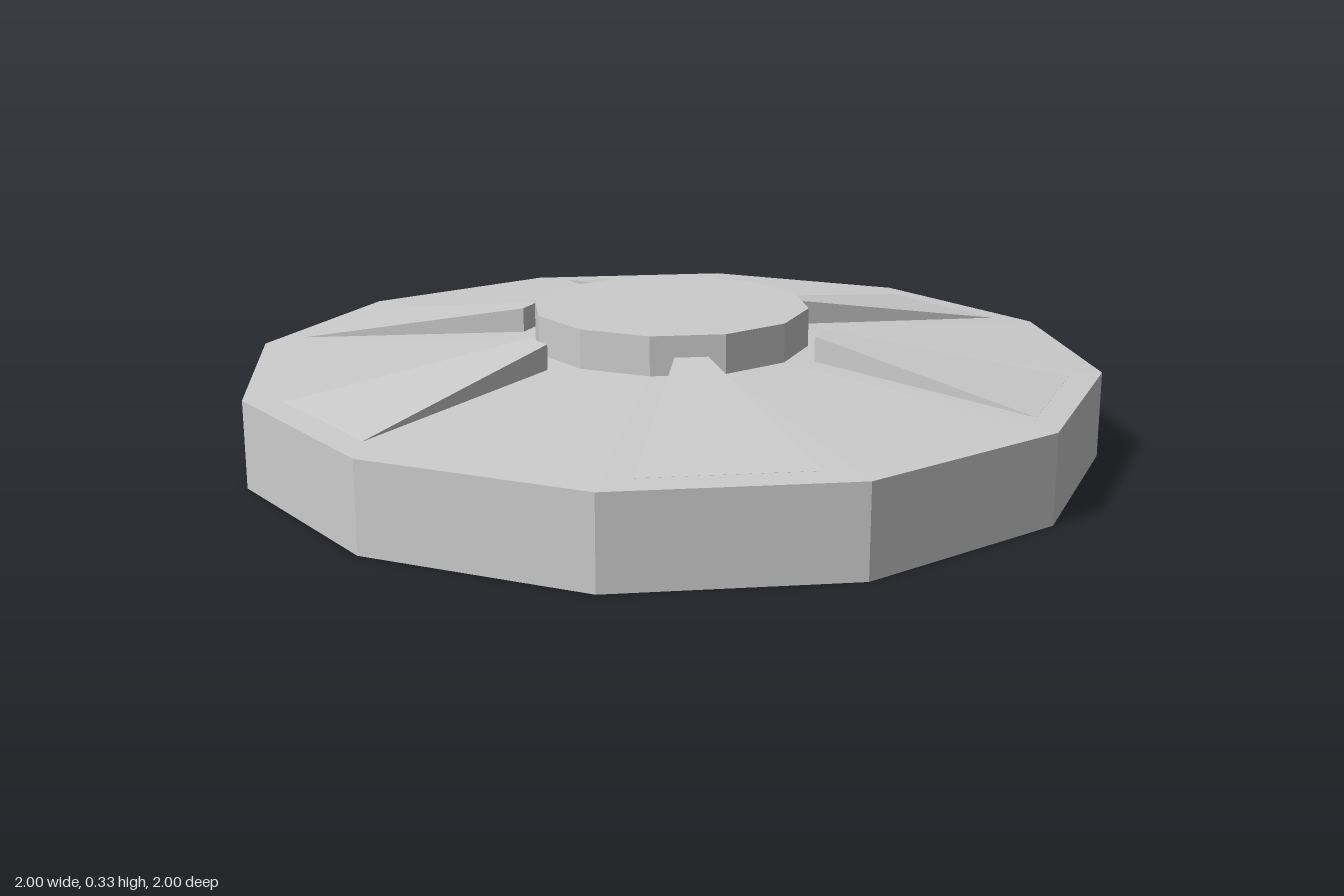
import * as THREE from 'three';

const SIDES = 12;
const HUB_RADIUS = 0.325;

// Tapered block lying along +x whose top slopes down into the disc
function wedgeGeometry() {
  const inner = { x: 0.37, half: 0.037, top: 0.295 };
  const outer = { x: 0.905, half: 0.18, top: 0.204 };
  const geometry = new THREE.BoxGeometry(1, 1, 1);
  const p = geometry.attributes.position;
  for (let i = 0; i < p.count; i++) {
    const end = p.getX(i) < 0 ? inner : outer;
    const y = p.getY(i) > 0 ? end.top : 0.19;
    p.setXYZ(i, end.x, y, Math.sign(p.getZ(i)) * end.half);
  }
  geometry.computeVertexNormals();
  return geometry;
}

export function createModel() {
  const group = new THREE.Group();
  group.name = 'ribbedDisc';
  const material = new THREE.MeshStandardMaterial({ color: 0xcccccc, flatShading: true });

  const add = (name, geometry, y = 0) => {
    const mesh = new THREE.Mesh(geometry, material);
    mesh.name = name;
    mesh.position.y = y;
    group.add(mesh);
    return mesh;
  };

  // Straight-sided base, shallow sloping top and raised hub
  add('base', new THREE.CylinderGeometry(1, 1, 0.2, SIDES), 0.1);
  add('slopedTop', new THREE.CylinderGeometry(HUB_RADIUS, 1, 0.04, SIDES, 1, true), 0.22);
  add('hub', new THREE.CylinderGeometry(HUB_RADIUS, HUB_RADIUS, 0.09, SIDES), 0.285);

  // Six wedges, one on every second facet
  const wedge = wedgeGeometry();
  for (let i = 0; i < 6; i++) {
    add(`wedge${i + 1}`, wedge).rotation.y = Math.PI / 4 + (i * Math.PI) / 3;
  }
  return group;
}
